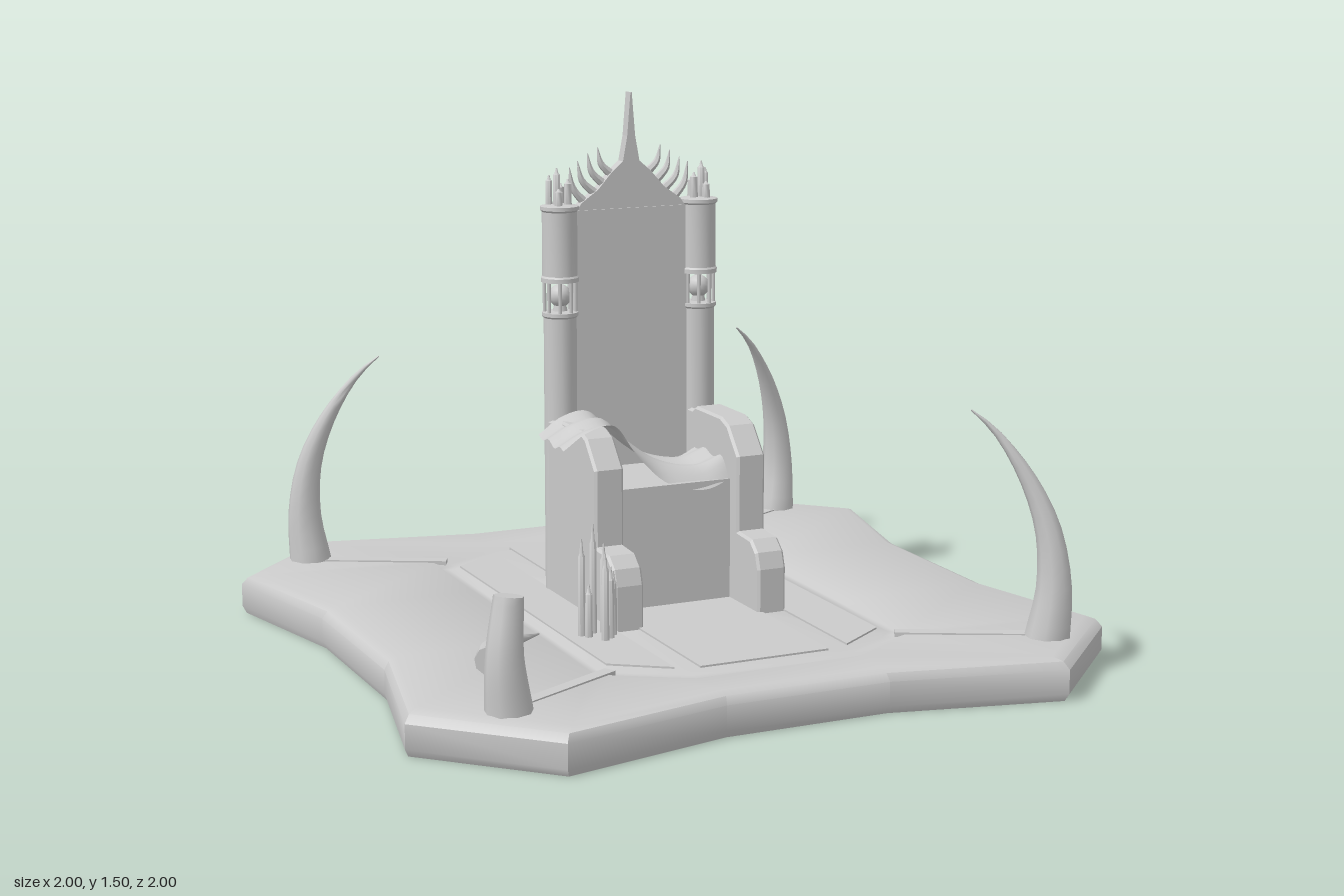
import * as THREE from 'three';
import { toCreasedNormals } from 'three/addons/utils/BufferGeometryUtils.js';

const grey = new THREE.MeshStandardMaterial({ color: 0xcccccc });
const greyDouble = new THREE.MeshStandardMaterial({ color: 0xcccccc, side: THREE.DoubleSide });
const V = (p) => new THREE.Vector3(...p);

function add(parent, name, geo, pos = [0, 0, 0], mat = grey) {
  const m = new THREE.Mesh(geo, mat);
  m.name = name;
  m.position.set(...pos);
  parent.add(m);
  return m;
}

// Tapered, capped tube along a curve; radii are spread evenly over its length
function horn(points, radii, seg = 16, sides = 9) {
  const curve = new THREE.CatmullRomCurve3(points.map(V));
  const geo = new THREE.TubeGeometry(curve, seg, 1, sides);
  const pos = geo.attributes.position, v = new THREE.Vector3();
  for (let i = 0; i <= seg; i++) {
    const from = curve.getPointAt(i / seg);
    const t = THREE.MathUtils.clamp((i - 1) / (seg - 2), 0, 1);
    const to = curve.getPointAt(t);
    const k = Math.min(Math.floor(t * (radii.length - 1)), radii.length - 2);
    let r = THREE.MathUtils.lerp(radii[k], radii[k + 1], t * (radii.length - 1) - k);
    if (i === 0 || i === seg) r = 0;
    for (let j = 0; j <= sides; j++) {
      const n = i * (sides + 1) + j;
      v.fromBufferAttribute(pos, n).sub(from).multiplyScalar(r).add(to);
      pos.setXYZ(n, v.x, v.y, v.z);
    }
  }
  return toCreasedNormals(geo, 0.9);
}

// Four-way mirrored 16 point ring from one quadrant of [x, z] points
function ring(q, y, s = 1) {
  const r = [...q].reverse();
  return [[q, 1, 1], [r, -1, 1], [q, -1, -1], [r, 1, -1]]
    .flatMap(([list, sx, sz]) => list.map(([x, z]) => [x * s * sx, y, z * s * sz]));
}

// Surface through stacked rings, closed by a fan at the last one, open below
function loft(rings) {
  const n = rings[0].length, idx = [];
  for (let j = 0; j < rings.length - 1; j++)
    for (let i = 0; i < n; i++) {
      const a = j * n + i, b = j * n + (i + 1) % n;
      idx.push(a, a + n, b + n, a, b + n, b);
    }
  const last = (rings.length - 1) * n, c = rings.length * n;
  for (let i = 0; i < n; i++) idx.push(last + i, c, last + (i + 1) % n);
  const flat = [...rings.flat(2), 0, rings.at(-1)[0][1], 0];
  const geo = new THREE.BufferGeometry();
  geo.setAttribute('position', new THREE.Float32BufferAttribute(flat, 3));
  geo.setIndex(idx);
  return toCreasedNormals(geo, 0.6);
}

function extrude(points, depth, bevel = 0) {
  const shape = new THREE.Shape(points.map(([x, y]) => new THREE.Vector2(x, y)));
  return new THREE.ExtrudeGeometry(shape, {
    depth: depth - 2 * bevel, bevelEnabled: bevel > 0, bevelThickness: bevel,
    bevelSize: bevel, bevelOffset: -bevel, bevelSegments: 1,
  }).translate(0, 0, bevel - depth / 2);
}

function buildBase(root) {
  const base = new THREE.Group();
  base.name = 'base';
  root.add(base);
  const edge = [[0.9, 0.26], [1, 0.7], [0.7, 1], [0.23, 0.895]];
  const floor = [[0.46, 0.26], [0.46, 0.59], [0.42, 0.63], [0.24, 0.74]];
  add(base, 'slab', loft([
    ring(edge, 0, 0.99), ring(edge, 0.02), ring(edge, 0.085), ring(edge, 0.105, 0.985),
    ring(edge, 0.114, 0.96), ring(floor, 0.112), ring(floor, 0.1, 0.96),
    ring(floor, 0.1, 0.92), ring(floor, 0.107, 0.89),
  ]), [0, 0, 0], greyDouble);
  // Floor panels
  add(base, 'centrePanel', new THREE.BoxGeometry(0.37, 0.008, 1.32), [0, 0.108, -0.01]);
  for (const s of [-1, 1]) {
    const pts = [[0.25, -0.63], [0.395, -0.53], [0.395, 0.53], [0.25, 0.63]].map(([x, z]) => [x * s, z]);
    add(base, 'sidePanel', extrude(pts, 0.008).rotateX(Math.PI / 2), [0, 0.108, 0]);
    // Ribs running out to the tusks
    for (const t of [-1, 1]) {
      const rib = add(base, 'rib', new THREE.BoxGeometry(0.42, 0.012, 0.035), [0.6 * s, 0.111, 0.69 * t]);
      rib.rotation.y = -s * t * 0.47;
    }
  }
}

function buildTusks(root) {
  const path = [[0.765, 0.1, 0.79], [0.778, 0.25, 0.798], [0.762, 0.4, 0.788], [0.712, 0.54, 0.757],
    [0.635, 0.665, 0.715], [0.577, 0.72, 0.69]];
  const radii = [0.062, 0.049, 0.038, 0.026, 0.013, 0.002];
  for (const [sx, sz] of [[1, 1], [1, -1], [-1, -1]])
    add(root, 'tusk', horn(path.map(([x, y, z]) => [x * sx, y, z * sz]), radii));
  // Snapped tusk and its fallen tip
  add(root, 'brokenTusk', horn(path.slice(0, 3).map(([x, y, z]) => [-x, y, z]), [0.062, 0.048, 0.038]));
  add(root, 'fallenTip', horn([[-0.71, 0.155, 0.515], [-0.66, 0.147, 0.405], [-0.58, 0.137, 0.325],
    [-0.467, 0.125, 0.25]], [0.037, 0.029, 0.018, 0.003]));
}

function buildPillar(parent, s) {
  const pillar = new THREE.Group();
  pillar.name = 'pillar';
  pillar.position.set(0.212 * s, 0, -0.2);
  parent.add(pillar);
  const profile = (pts) => toCreasedNormals(
    new THREE.LatheGeometry(pts.map(([r, y]) => new THREE.Vector2(r, y)), 20), 0.6);
  add(pillar, 'shaft', profile([[0, 0.1], [0.046, 0.1], [0.046, 0.885], [0.051, 0.89], [0.051, 0.9], [0, 0.905]]));
  add(pillar, 'drum', profile([[0, 0.985], [0.053, 0.985], [0.053, 0.997], [0.049, 1.002], [0.049, 1.18],
    [0.054, 1.185], [0.054, 1.195], [0.03, 1.2], [0, 1.2]]));
  // Open lantern with a globe inside
  add(pillar, 'globe', new THREE.SphereGeometry(0.032, 14, 10), [0, 0.945, 0]);
  add(pillar, 'globeFoot', new THREE.CylinderGeometry(0.016, 0.022, 0.03, 10), [0, 0.91, 0]);
  for (let i = 0; i < 8; i++) {
    const a = (i + 0.5) / 8 * Math.PI * 2;
    add(pillar, 'lanternBar', new THREE.CylinderGeometry(0.005, 0.005, 0.09, 6),
      [Math.cos(a) * 0.043, 0.945, Math.sin(a) * 0.043]);
  }
  // Cluster of candles on the cap
  for (const [x, z, h, r] of [[0.008, 0, 0.105, 0.011], [-0.02, 0.012, 0.075, 0.012], [0.026, -0.012, 0.085, 0.01],
    [0.012, 0.024, 0.05, 0.012], [-0.012, -0.022, 0.06, 0.012]])
    candle(pillar, x * s, 1.195, z, h, r);
}

function candle(parent, x, y, z, h, r) {
  const pts = [[0, 0], [r, 0], [r * 0.9, h * 0.82], [r * 0.55, h * 0.85], [0.002, h]];
  add(parent, 'candle', toCreasedNormals(
    new THREE.LatheGeometry(pts.map((p) => new THREE.Vector2(...p)), 8), 0.9), [x, y, z]);
}

function buildThrone(root) {
  const throne = new THREE.Group();
  throne.name = 'throne';
  root.add(throne);
  add(throne, 'seat', new THREE.BoxGeometry(0.36, 0.35, 0.3), [0, 0.275, -0.055]);
  add(throne, 'backrest', new THREE.BoxGeometry(0.35, 1.08, 0.05), [0, 0.64, -0.21]);
  // Stepped arms, profile in (z, y)
  const arm = [[-0.22, 0.1], [0.27, 0.1], [0.27, 0.23], [0.255, 0.275], [0.22, 0.305], [0.14, 0.31],
    [0.14, 0.52], [0.075, 0.595], [0.03, 0.612], [-0.13, 0.612], [-0.15, 0.6], [-0.22, 0.6]];
  for (const s of [-1, 1]) {
    add(throne, 'arm', extrude(arm, 0.085, 0.007).rotateY(-Math.PI / 2), [0.213 * s, 0, 0]);
    buildPillar(throne, s);
  }
  // Pointed crest with curved spikes
  const half = [[0.172, 1.17], [0.15, 1.2], [0.1, 1.235], [0.06, 1.28], [0.025, 1.31], [0.012, 1.38]];
  const left = half.map(([x, y]) => [-x, y]).reverse();
  add(throne, 'crest', extrude([...half, [0.002, 1.5], [-0.002, 1.5], ...left], 0.032), [0, 0, -0.205]);
  const spikes = [[0.135, 1.2, 0.045, 0.1], [0.105, 1.225, 0.05, 0.09], [0.08, 1.25, 0.045, 0.085],
    [0.055, 1.275, 0.04, 0.075]];
  for (const s of [-1, 1])
    for (const [x, y, dx, dy] of spikes)
      add(throne, 'spike', horn([[x * s, y, -0.205], [(x + dx * 0.75) * s, y + dy * 0.4, -0.205],
        [(x + dx) * s, y + dy, -0.205]], [0.013, 0.009, 0.001], 10, 6));
}

// Cloth slung from the arm at -x down across the seat
function buildCloth(root) {
  const drop = new THREE.CatmullRomCurve3([[-0.315, 0.57, 0], [-0.255, 0.612, 0], [-0.17, 0.622, 0],
    [-0.1, 0.56, 0], [-0.01, 0.497, 0], [0.09, 0.478, 0], [0.168, 0.5, 0]].map(V));
  const geo = new THREE.PlaneGeometry(1, 1, 32, 16);
  const pos = geo.attributes.position;
  for (let i = 0; i < pos.count; i++) {
    const u = pos.getX(i) + 0.5, v = pos.getY(i) + 0.5;
    const p = drop.getPoint(u);
    const hang = Math.pow(Math.max(0, (0.25 - v) / 0.25), 2) * 0.045 * THREE.MathUtils.smoothstep(u, 0.3, 0.7);
    const fold = 0.007 * Math.sin(v * 13 + u * 5);
    const z = THREE.MathUtils.lerp(0.085, -0.135, v) + 0.015 * Math.sin(u * 9);
    pos.setXYZ(i, p.x + 0.02 * (v - 0.5) * (1 - u), p.y + fold - hang, z);
  }
  geo.computeVertexNormals();
  add(root, 'cloth', geo, [0, 0, 0], greyDouble);
}

export function createModel() {
  const root = new THREE.Group();
  root.name = 'throneOnPlatform';
  buildBase(root);
  buildTusks(root);
  buildThrone(root);
  buildCloth(root);
  // Floor candles beside the throne
  for (const [x, z, h] of [[-0.352, 0.27, 0.27], [-0.315, 0.26, 0.305], [-0.286, 0.265, 0.25], [-0.272, 0.295, 0.18],
    [-0.29, 0.32, 0.2], [-0.312, 0.335, 0.24], [-0.34, 0.29, 0.15]])
    candle(root, x, 0.105, z, h, 0.011);
  return root;
}
